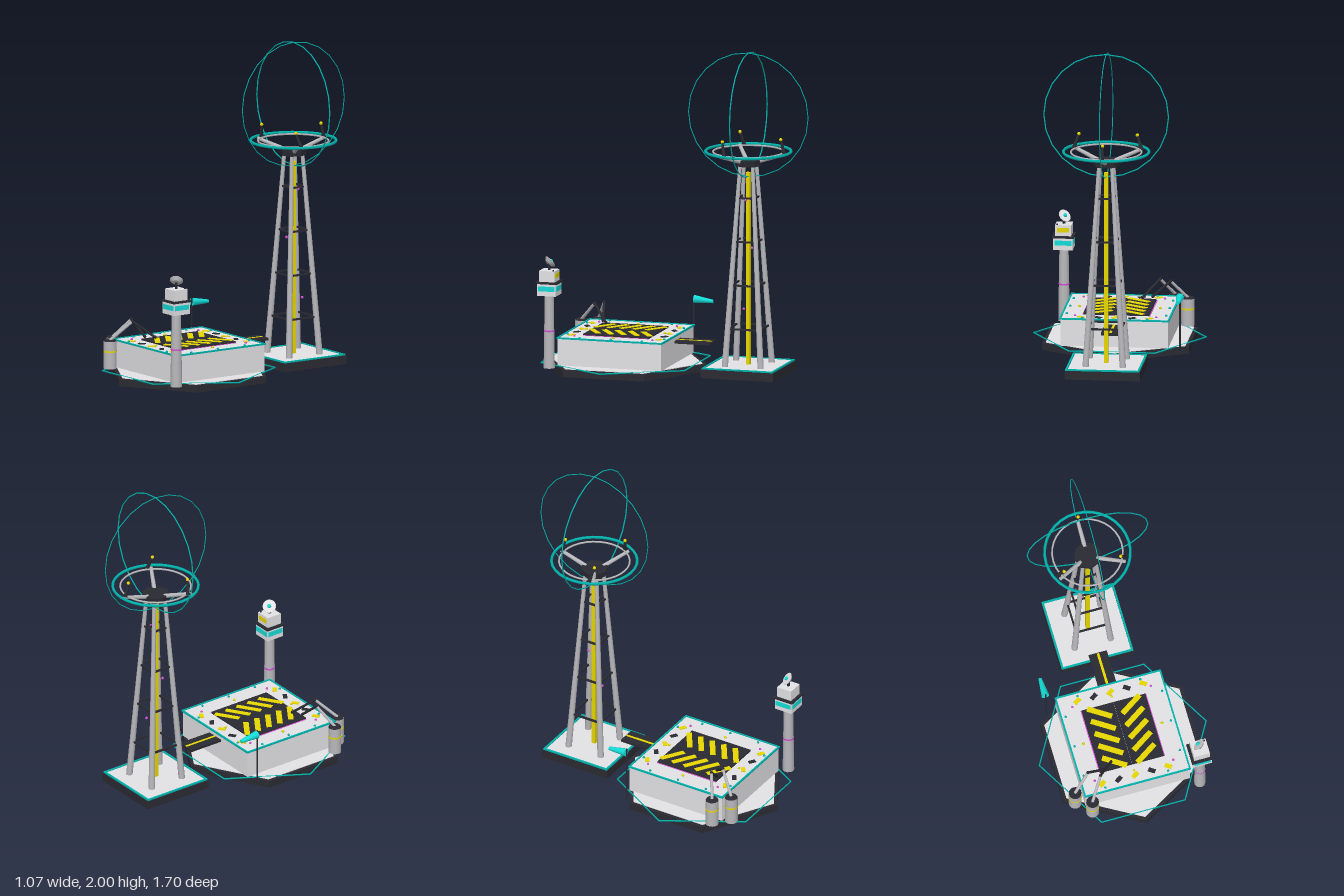
import * as THREE from 'three';

const mat = (name, color) => Object.assign(new THREE.MeshStandardMaterial({ color }), { name });
const M = {
  light: mat('light grey', 0xe3e3e6),
  steel: mat('steel grey', 0xb9b9bd),
  dark: mat('charcoal', 0x2a2a32),
  teal: mat('trim teal', 0x00b4ae),
  cyan: mat('bright cyan', 0x14dcd8),
  yellow: mat('hazard yellow', 0xe8d800),
  magenta: mat('magenta', 0xd650d6),
};
const V = (x, y, z) => new THREE.Vector3(x, y, z);

export function createModel() {
  const root = new THREE.Group();
  root.name = 'groundStation';
  let parent = root;

  const group = (name) => {
    parent = new THREE.Group();
    parent.name = name;
    root.add(parent);
  };
  const add = (name, geo, m, x = 0, y = 0, z = 0) => {
    const mesh = new THREE.Mesh(geo, m);
    mesh.name = name;
    mesh.position.set(x, y, z);
    parent.add(mesh);
    return mesh;
  };
  const box = (name, m, w, h, d, x, y, z) => add(name, new THREE.BoxGeometry(w, h, d), m, x, y, z);
  const cyl = (name, m, r0, r1, h, x, y, z, n = 12) =>
    add(name, new THREE.CylinderGeometry(r1, r0, h, n), m, x, y, z);
  // Prism with hard edges
  const prism = (name, m, r0, r1, h, x, y, z, n) => {
    const geo = new THREE.CylinderGeometry(r1, r0, h, n).toNonIndexed();
    geo.computeVertexNormals();
    return add(name, geo, m, x, y, z);
  };
  const ball = (name, m, r, x, y, z) => add(name, new THREE.SphereGeometry(r, 8, 6), m, x, y, z);
  const ring = (name, m, r, t, n, x, y, z) => add(name, new THREE.TorusGeometry(r, t, 6, n), m, x, y, z);
  // Rod between two points, r0 at a and r1 at b
  const rod = (name, m, a, b, r0, r1 = r0, n = 8) => {
    const mid = a.clone().add(b).multiplyScalar(0.5);
    const mesh = cyl(name, m, r0, r1, a.distanceTo(b), mid.x, mid.y, mid.z, n);
    mesh.quaternion.setFromUnitVectors(V(0, 1, 0), b.clone().sub(a).normalize());
    return mesh;
  };
  // Square frame of four bars of thickness t around x = 0, z = cz
  const frame = (name, m, half, y, cz, t) => {
    for (const s of [-1, 1]) {
      box(name, m, 2 * half + t, t, t, 0, y, cz + s * half);
      box(name, m, t, t, 2 * half - t, s * half, y, cz);
    }
  };

  // Hexagonal foundation
  group('foundation');
  prism('hexBase', M.dark, 0.522, 0.522, 0.044, 0, 0.022, 0.325, 6);
  prism('hexDeck', M.light, 0.497, 0.497, 0.006, 0, 0.045, 0.325, 6);
  ring('perimeterRail', M.teal, 0.531, 0.005, 6, 0, 0.046, 0.322).rotation.x = Math.PI / 2;

  // Main block and roof
  group('mainBlock');
  const CZ = 0.322;
  box('block', M.light, 0.664, 0.172, 0.664, 0, 0.132, CZ);
  frame('roofTrim', M.teal, 0.333, 0.218, CZ, 0.01);
  for (const s of [-1, 1]) {
    box('padDoor', M.dark, 0.202, 0.012, 0.42, s * 0.102, 0.222, CZ);
    box('padEdge', M.magenta, 0.006, 0.003, 0.42, s * 0.206, 0.219, CZ);
    for (let i = -2; i <= 2; i++)
      box('chevron', M.yellow, 0.16, 0.004, 0.034, s * 0.1, 0.229, CZ + i * 0.083).rotation.y = s * 0.58;
    for (const z of [-0.2, 0, 0.2]) ball('edgeLamp', M.teal, 0.008, s * 0.307, 0.221, CZ + z);
    for (const z of [-0.31, 0.31]) ball('cornerLamp', M.teal, 0.008, s * 0.2, 0.221, CZ + z);
    for (const z of [-0.25, 0.25]) ball('padLamp', M.magenta, 0.008, s * 0.25, 0.221, CZ + z);
    ball('sideLamp', M.yellow, 0.009, s * 0.25, 0.221, CZ);
    ball('centreLamp', M.yellow, 0.008, 0, 0.221, CZ + s * 0.25);
    for (let i = -2; i <= 2; i++)
      box('roofMark', i % 2 ? M.dark : M.yellow, 0.045, 0.005, 0.027, i * 0.105, 0.22, CZ + s * 0.28)
        .rotation.y = i > 0 ? -0.6 : 0.6;
  }

  // Walkway towards the mast
  group('walkway');
  box('walkwayDeck', M.dark, 0.115, 0.016, 0.235, 0, 0.18, -0.12);
  box('walkwayStripe', M.yellow, 0.016, 0.002, 0.225, 0, 0.1885, -0.12);

  // Lattice mast
  group('mast');
  const TZ = -0.465;
  box('mastBase', M.dark, 0.465, 0.054, 0.465, 0, 0.027, TZ);
  box('mastDeck', M.light, 0.43, 0.008, 0.43, 0, 0.054, TZ);
  frame('mastTrim', M.teal, 0.222, 0.057, TZ, 0.012);
  const half = (y) => 0.115 - (0.075 * (y - 0.05)) / 1.25;
  for (const a of [-1, 1])
    for (const b of [-1, 1])
      rod('mastLeg', M.steel, V(a * half(0.05), 0.05, TZ + b * half(0.05)),
        V(a * half(1.3), 1.3, TZ + b * half(1.3)), 0.02, 0.012, 10);
  for (const y of [0.29, 0.56, 0.83, 1.1]) frame('mastBrace', M.dark, half(y), y, TZ, 0.011);
  box('mastConduit', M.yellow, 0.024, 1.2, 0.024, 0, 0.655, TZ);
  [0.42, 0.77, 1.09].forEach((y, i) => ball('mastLamp', M.magenta, 0.009, (i % 2 ? -1 : 1) * half(y), y, TZ));

  // Antenna head: hub, three arms, masts and hoops
  group('antennaHead');
  prism('hub', M.dark, 0.08, 0.085, 0.038, 0, 1.316, TZ, 8);
  for (const [x, z] of [[0, -1], [-0.866, 0.5], [0.866, 0.5]])
    rod('headArm', M.steel, V(x * 0.06, 1.325, TZ + z * 0.06), V(x * 0.24, 1.38, TZ + z * 0.24), 0.014, 0.011);
  for (const [a, b] of [
    [V(0.21, 1.38, -0.375), V(0.18, 1.468, -0.355)],
    [V(-0.21, 1.38, -0.375), V(-0.18, 1.468, -0.355)],
    [V(0, 1.38, -0.695), V(0, 1.468, -0.673)],
  ]) {
    rod('whip', M.dark, a, b, 0.013, 0.006);
    ball('whipTip', M.yellow, 0.011, b.x, b.y, b.z);
  }
  ring('outerRing', M.teal, 0.263, 0.009, 32, 0, 1.385, TZ).rotation.x = Math.PI / 2;
  ring('innerRing', M.steel, 0.217, 0.006, 32, 0, 1.382, TZ).rotation.x = Math.PI / 2;
  ring('hoop', M.teal, 0.384, 0.004, 24, 0, 1.612, TZ);
  ring('crossHoop', M.teal, 0.384, 0.003, 24, 0, 1.612, TZ).rotation.y = Math.PI / 2;

  // Tanks with jointed loading arms
  group('tanks');
  for (const [x, z, elbow, tip] of [
    [-0.387, 0.615, V(-0.287, 0.338, 0.55), V(-0.18, 0.245, 0.525)],
    [-0.3, 0.7, V(-0.218, 0.34, 0.59), V(-0.122, 0.245, 0.488)],
  ]) {
    cyl('tank', M.steel, 0.04, 0.04, 0.17, x, 0.132, z, 14);
    cyl('tankBand', M.yellow, 0.0415, 0.0415, 0.01, x, 0.155, z, 14);
    cyl('tankCap', M.dark, 0.04, 0.034, 0.01, x, 0.221, z, 14);
    rod('lowerArm', M.steel, V(x, 0.222, z), elbow, 0.01, 0.009);
    ball('elbow', M.dark, 0.011, elbow.x, elbow.y, elbow.z);
    rod('upperArm', M.dark, elbow, tip, 0.008);
    ball('nozzle', M.dark, 0.01, tip.x, tip.y, tip.z);
  }

  // Control tower
  group('controlTower');
  const X = 0.385, Z = 0.692;
  cyl('column', M.steel, 0.036, 0.029, 0.46, X, 0.27, Z, 10);
  cyl('columnBand', M.magenta, 0.0345, 0.0345, 0.01, X, 0.272, Z, 10);
  box('cab', M.light, 0.12, 0.075, 0.12, X, 0.533, Z);
  box('cabWindowsFrontBack', M.cyan, 0.105, 0.03, 0.126, X, 0.54, Z);
  box('cabWindowsSides', M.cyan, 0.126, 0.03, 0.105, X, 0.54, Z);
  box('cabRoof', M.dark, 0.135, 0.012, 0.135, X, 0.576, Z);
  box('upperCab', M.light, 0.1, 0.068, 0.1, X, 0.616, Z);
  box('upperCabPanel', M.yellow, 0.075, 0.028, 0.004, X, 0.62, Z - 0.051);
  rod('dishPost', M.dark, V(X, 0.645, Z), V(X, 0.69, Z), 0.009);
  ball('roofSensor', M.dark, 0.006, X + 0.038, 0.653, Z - 0.038);

  // Dish tilted up and towards the mast
  const dish = new THREE.Group();
  dish.name = 'dish';
  dish.position.set(X, 0.695, Z);
  dish.quaternion.setFromUnitVectors(V(0, 1, 0), V(-0.5, 0.55, -0.5).normalize());
  parent.add(dish);
  parent = dish;
  cyl('dishBack', M.steel, 0.022, 0.042, 0.018, 0, 0, 0, 16);
  cyl('dishFace', M.light, 0.04, 0.04, 0.003, 0, 0.01, 0, 16);
  ball('dishFeed', M.cyan, 0.013, 0, 0.015, 0);

  // Windsock
  group('windsock');
  rod('windsockPole', M.dark, V(-0.403, 0.03, 0.012), V(-0.403, 0.395, 0.012), 0.005);
  rod('sock', M.cyan, V(-0.403, 0.368, 0.01), V(-0.403, 0.358, -0.112), 0.025, 0.011, 10);

  return root;
}
